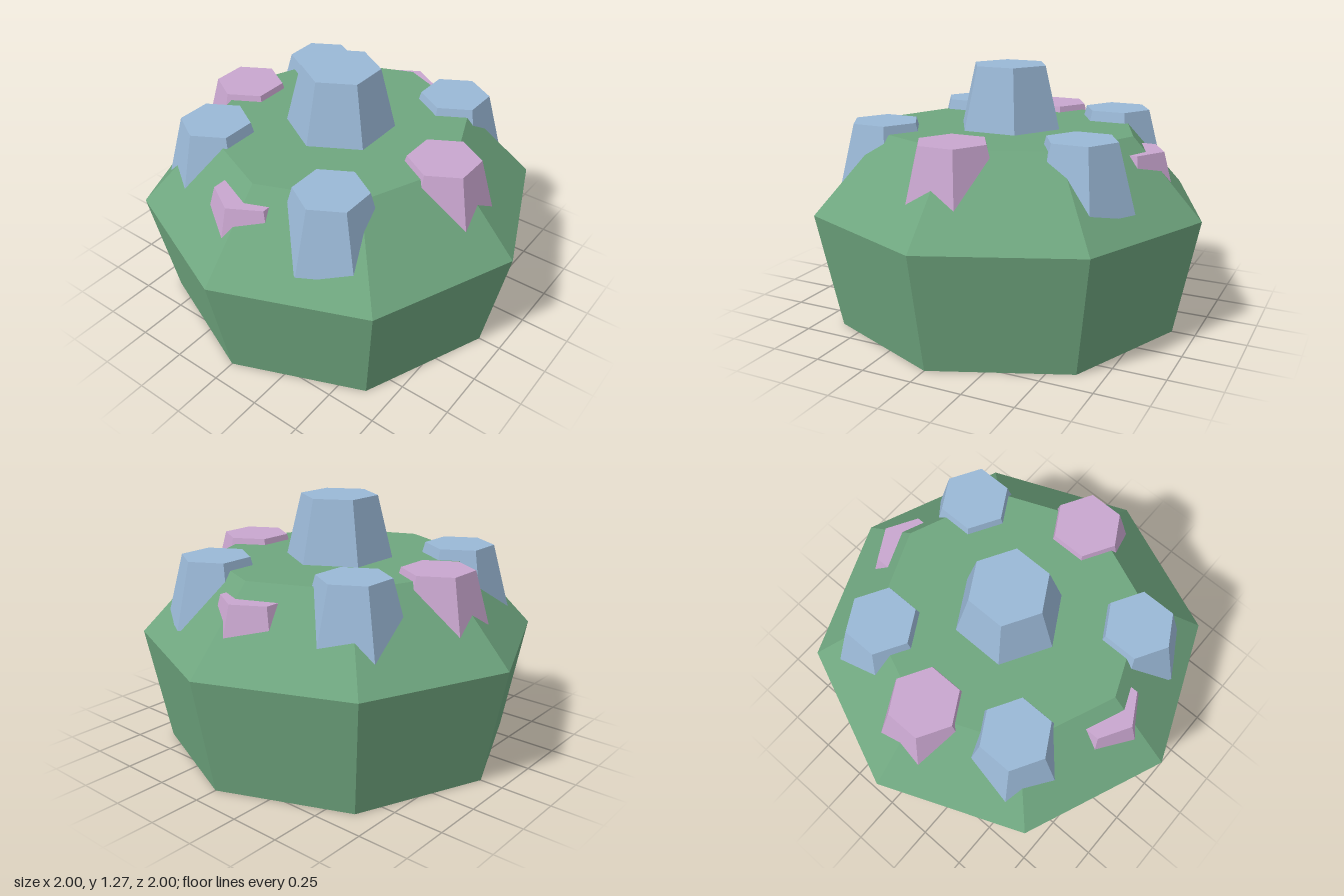
import * as THREE from 'three';

const flat = (name, color) =>
  new THREE.MeshStandardMaterial({ name, color, flatShading: true });

export function createModel() {
  const green = flat('leaf green', 0x6fa67f);
  const blue = flat('pale blue', 0x9ab8d6);
  const pink = flat('soft pink', 0xc9a6cf);

  const model = new THREE.Group();
  model.name = 'studdedDome';

  // Eight-sided body: flared wall, sloped shoulder and flat top
  const profile = [[0, 0], [0.885, 0], [1, 0.58], [0.65, 0.96], [0, 0.96]]
    .map(([r, y]) => new THREE.Vector2(r, y));
  const body = new THREE.Mesh(new THREE.LatheGeometry(profile, 8), green);
  body.name = 'body';
  model.add(body);

  // Tapered hexagonal stud with corners on the x axis, placed by its top face
  const height = 0.32;
  function addStud(name, material, x, topY, z, topR = 0.173, bottomR = 0.26) {
    const geometry = new THREE.CylinderGeometry(topR, bottomR, height, 6, 1, false, Math.PI / 2);
    const stud = new THREE.Mesh(geometry, material);
    stud.name = name;
    stud.position.set(x, topY - height / 2, z);
    model.add(stud);
  }

  // Tall centre stud
  addStud('centreStud', blue, 0, 1.27, 0, 0.193, 0.272);

  // Front and back pink studs
  addStud('frontPinkStud', pink, 0, 0.99, 0.597);
  addStud('backPinkStud', pink, 0, 0.99, -0.6);

  // Mirrored studs on both sides
  for (const [side, s] of [['left', 1], ['right', -1]]) {
    addStud(`${side}FrontBlueStud`, blue, s * 0.52, 1.0, 0.342);
    addStud(`${side}BackBlueStud`, blue, s * 0.42, 1.012, -0.443);
    addStud(`${side}PinkStud`, pink, s * 0.62, 0.89, -0.04);
  }

  return model;
}
